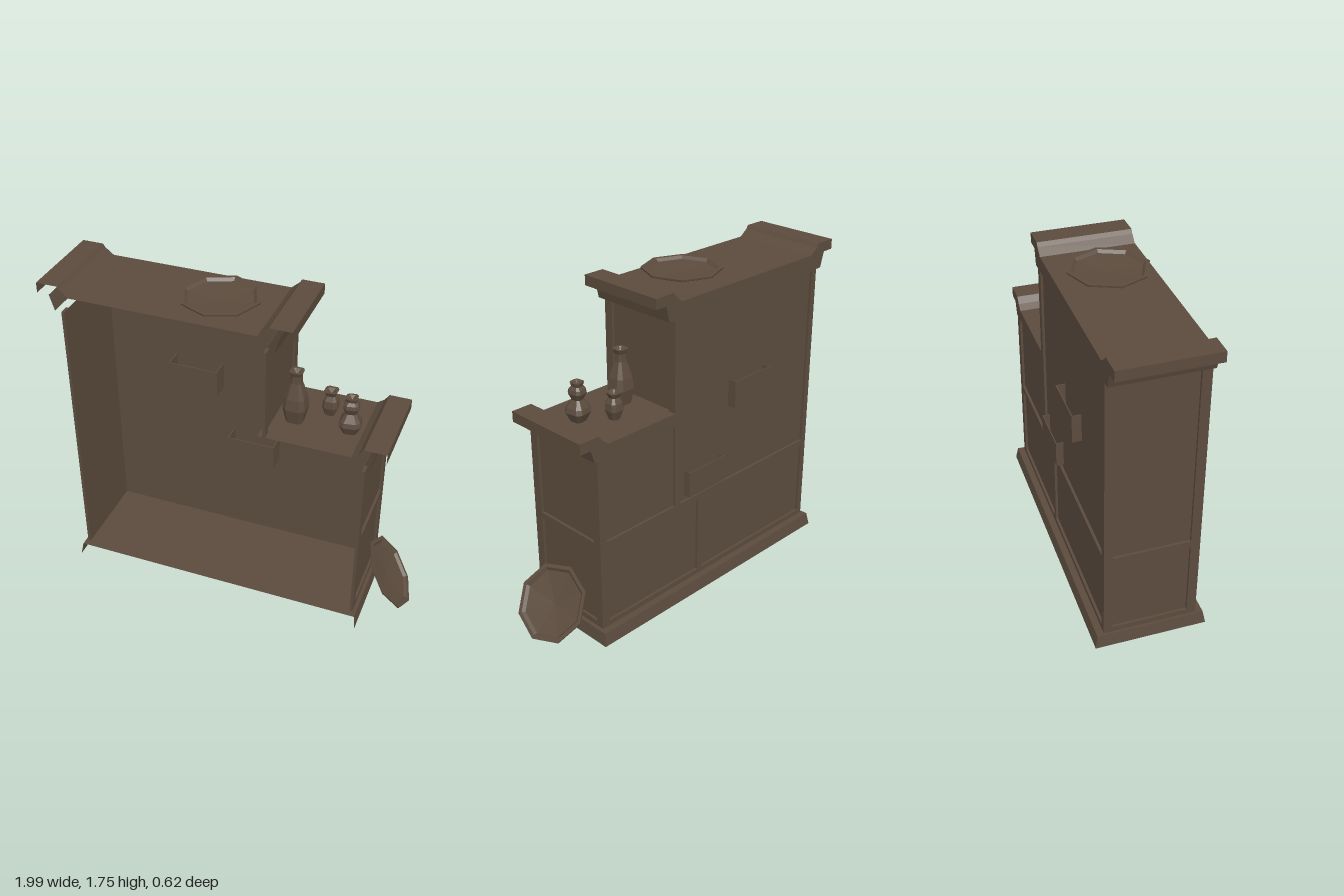
import * as THREE from 'three';

const wood = new THREE.MeshStandardMaterial({ color: 0x5b4b3d, flatShading: true, side: THREE.DoubleSide });
wood.name = 'darkWood';

const add = (parent, name, geo) => {
  const m = new THREE.Mesh(geo, wood);
  m.name = name;
  parent.add(m);
  return m;
};

const box = (parent, name, x0, x1, y0, y1, z0, z1) =>
  add(parent, name, new THREE.BoxGeometry(x1 - x0, y1 - y0, z1 - z0))
    .position.set((x0 + x1) / 2, (y0 + y1) / 2, (z0 + z1) / 2);

// Open sheet between two paths with the same number of points
function loft(a, b) {
  const pos = [];
  for (let i = 0; i < a.length - 1; i++)
    pos.push(...a[i], ...b[i], ...b[i + 1], ...a[i], ...b[i + 1], ...a[i + 1]);
  const g = new THREE.BufferGeometry();
  g.setAttribute('position', new THREE.Float32BufferAttribute(pos, 3));
  g.computeVertexNormals();
  return g;
}

const D = 0.25, R = 0.015; // half depth of the cabinet, recess of the panels

// Cornice: folded sheets along z, closed by a cap at the panelled side only
function cornice(parent, name, top, slants, cap) {
  const g = new THREE.Group();
  g.name = name;
  for (const path of [top, ...slants]) {
    const at = z => path.map(([x, y]) => [x, y, z]);
    add(g, 'corniceSheet', loft(at(D), at(-D)));
  }
  const c = add(g, 'corniceCap', new THREE.ShapeGeometry(new THREE.Shape(cap.map(p => new THREE.Vector2(...p)))));
  c.position.z = -D;
  parent.add(g);
}

// Framed end wall; s is the direction it faces along x
function sideWall(parent, name, x, s, y0, y1, rails) {
  const g = new THREE.Group();
  g.name = name;
  const inner = x - s * R, lo = Math.min(x, inner), hi = Math.max(x, inner);
  box(g, 'sidePanel', inner - 0.001, inner + 0.001, y0, y1, -D, D);
  box(g, 'sidePost', lo, hi, y0, y1, 0.2, D);
  box(g, 'sidePost', lo, hi, y0, y1, -D, -0.205);
  for (const [a, b] of rails) box(g, 'sideRail', lo, hi, a, b, -0.205, 0.2);
  parent.add(g);
}

// Drawer pulled slightly out, open on top
function drawer(parent, x0, x1, y0, y1, zOut, zIn) {
  const g = new THREE.Group(), t = 0.006;
  g.name = 'drawer';
  box(g, 'drawerFront', x0, x1, y0, y1, zOut, zOut + t);
  box(g, 'drawerBack', x0, x1, y0, y1, zIn - t, zIn);
  box(g, 'drawerSide', x0, x0 + t, y0, y1, zOut, zIn);
  box(g, 'drawerSide', x1 - t, x1, y0, y1, zOut, zIn);
  box(g, 'drawerBottom', x0, x1, y0, y0 + t, zOut, zIn);
  parent.add(g);
}

const lathe = (pts, n, start = 0) =>
  new THREE.LatheGeometry(pts.map(p => new THREE.Vector2(...p)), n, start);

// Vase with a square plan and trimmed corners
function vase(parent, name, x, y, z, turn, pts) {
  const geo = lathe(pts.map(([r, h]) => [r * 1.17, h]), 8, Math.PI / 8);
  const p = geo.attributes.position, q = Math.PI / 2;
  for (let i = 0; i < p.count; i++) {
    const r = Math.hypot(p.getX(i), p.getZ(i));
    const a = Math.atan2(p.getZ(i), p.getX(i));
    const mid = (Math.floor(a / q) + 0.5) * q;
    const b = mid + (a - mid) * 0.6;
    p.setX(i, r * Math.cos(b));
    p.setZ(i, r * Math.sin(b));
  }
  geo.computeVertexNormals();
  const m = add(parent, name, geo);
  m.position.set(x, y, z);
  m.rotation.y = turn;
}

export function createModel() {
  const root = new THREE.Group();
  root.name = 'steppedCabinet';
  const cabinet = new THREE.Group();
  cabinet.name = 'cabinet';
  cabinet.rotation.y = 0.0125;
  root.add(cabinet);

  // Sloped plinth on three sides and the floor
  const ring = (x0, x1, y, z) => [[x0, y, z], [x0, y, -z], [x1, y, -z], [x1, y, z]];
  add(cabinet, 'plinth', loft(ring(-0.9, 0.76, 0, 0.3), ring(-0.888, 0.75, 0.07, 0.287)));
  add(cabinet, 'floor', loft([[-0.888, 0.07, 0.287], [0.75, 0.07, 0.287]], [[-0.888, 0.07, -0.287], [0.75, 0.07, -0.287]]));

  // Panelled wall on the drawer side
  const zi = -D + R;
  box(cabinet, 'tallPanel', -0.875, 0.21, 0.07, 1.605, zi - 0.001, zi + 0.001);
  box(cabinet, 'lowPanel', 0.21, 0.73, 0.07, 1.04, zi - 0.001, zi + 0.001);
  const frame = [
    [-0.875, -0.84, 0.07, 1.605], [0.17, 0.21, 0.575, 1.605], [0.685, 0.73, 0.07, 1.04],
    [0.005, 0.035, 0.1, 0.54], [-0.84, 0.685, 0.07, 0.1], [-0.84, 0.685, 0.54, 0.575],
  ];
  for (const [x0, x1, y0, y1] of frame) box(cabinet, 'frameBar', x0, x1, y0, y1, -D, zi);

  // End walls
  const rails = [[0.07, 0.1], [0.537, 0.573]];
  sideWall(cabinet, 'tallOuterWall', -0.875, -1, 0.07, 1.605, rails);
  sideWall(cabinet, 'lowOuterWall', 0.73, 1, 0.07, 1.04, rails);
  sideWall(cabinet, 'tallStepWall', 0.21, 1, 1.11, 1.605, []);

  // Tall and low cornices with raised ends
  const tallTop = [[-1, 1.69], [-1, 1.745], [-0.885, 1.745], [-0.87, 1.725], [-0.825, 1.69],
    [0.165, 1.69], [0.205, 1.725], [0.22, 1.745], [0.337, 1.745], [0.337, 1.69]];
  const tallL = [[-0.935, 1.69], [-0.91, 1.605]], tallR = [[0.25, 1.605], [0.27, 1.69]];
  cornice(cabinet, 'tallCornice', tallTop, [tallL, tallR], [...tallTop, tallR[1], tallR[0], tallL[1], tallL[0]]);
  const lowTop = [[0.17, 1.11], [0.655, 1.11], [0.69, 1.135], [0.715, 1.17], [0.832, 1.17], [0.832, 1.113]];
  const lowR = [[0.745, 1.04], [0.768, 1.113]];
  cornice(cabinet, 'lowCornice', lowTop, [lowR], [...lowTop, lowR[1], lowR[0], [0.21, 1.04], [0.17, 1.04]]);

  // Drawers
  drawer(cabinet, -0.48, -0.2, 1.01, 1.165, -0.286, -0.13);
  drawer(cabinet, -0.14, 0.13, 0.605, 0.75, -0.277, -0.13);

  // Dishes: one lying on top, one leaning on the low end
  const dish = lathe([[0, 0], [0.115, 0], [0.208, 0.033], [0.21, 0.043], [0.19, 0.043], [0.175, 0.028], [0, 0.012]], 8);
  const topDish = add(root, 'topDish', dish);
  topDish.position.set(-0.11, 1.691, 0.02);
  const normal = new THREE.Vector3(0.81, 0.59, -0.14).normalize();
  const lean = add(root, 'leaningDish', dish);
  lean.quaternion.setFromUnitVectors(new THREE.Vector3(0, 1, 0), normal);
  lean.position.set(0.866, 0.182, -0.022).addScaledVector(normal, -0.043);

  // Vases on the low top
  vase(root, 'tallVase', 0.302, 1.11, 0.04, 0,
    [[0, 0], [0.043, 0], [0.06, 0.085], [0.052, 0.145], [0.027, 0.23], [0.025, 0.27], [0.034, 0.295], [0.022, 0.295], [0, 0.27]]);
  vase(root, 'smallVase', 0.452, 1.11, -0.075, 0,
    [[0, 0], [0.025, 0], [0.04, 0.05], [0.036, 0.09], [0.022, 0.115], [0.035, 0.143], [0.022, 0.143], [0, 0.12]]);
  vase(root, 'gourdVase', 0.59, 1.11, 0.035, 0.17,
    [[0, 0], [0.034, 0], [0.056, 0.05], [0.05, 0.075], [0.025, 0.115], [0.04, 0.15], [0.036, 0.17], [0.024, 0.185], [0.03, 0.206], [0.02, 0.206], [0, 0.19]]);
  return root;
}
